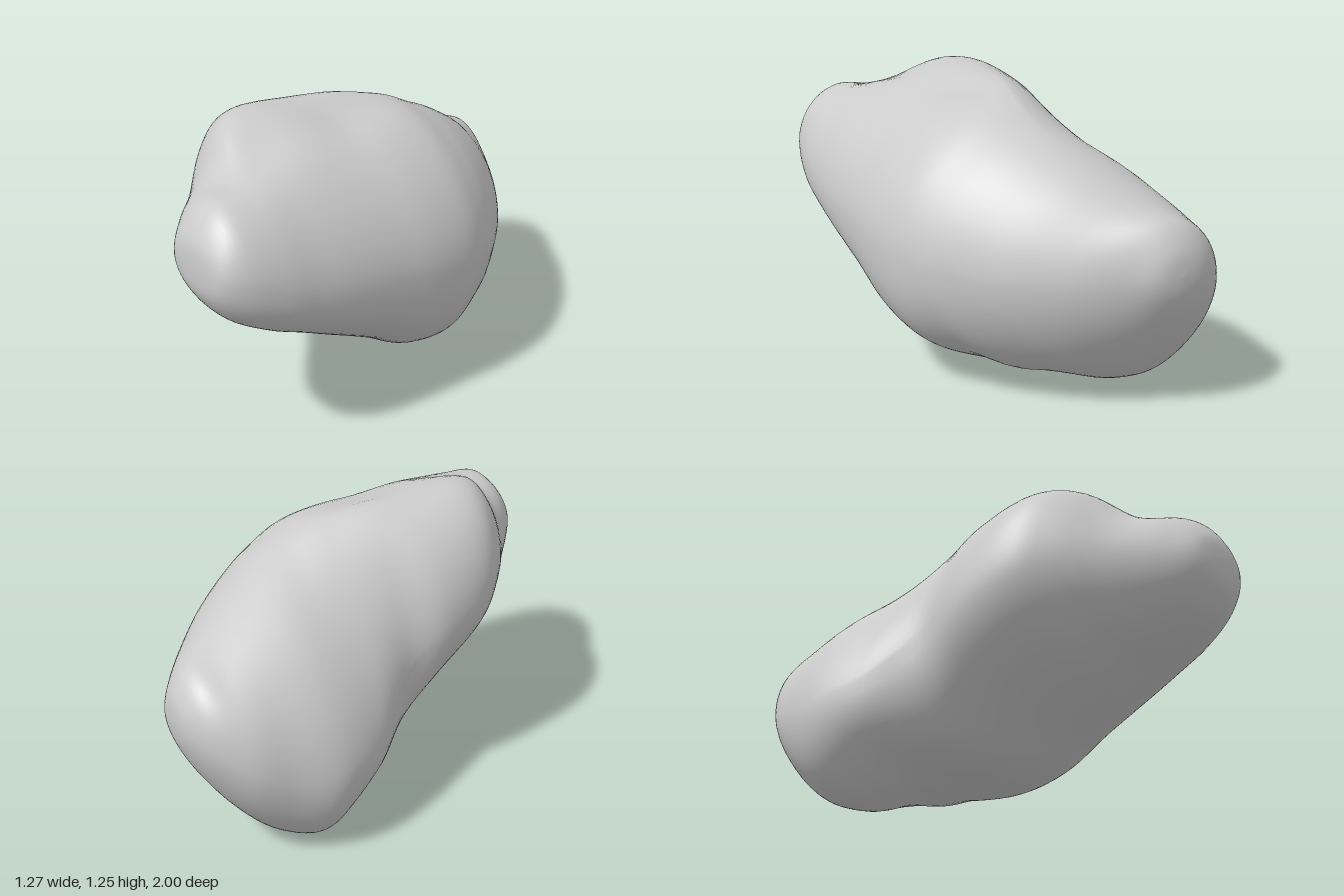
import * as THREE from 'three';

// Cross-sections along z: z, then the left, top, right and bottom extreme points (x, y)
const SECTIONS = [
  [1, 0.35, 0.87, 0.35, 0.87, 0.35, 0.87, 0.35, 0.87],
  [0.985, 0.22, 0.87, 0.36, 0.98, 0.5, 0.86, 0.37, 0.76],
  [0.9, 0.11, 0.87, 0.36, 1.085, 0.575, 0.84, 0.38, 0.65],
  [0.75, -0.05, 0.87, 0.29, 1.125, 0.615, 0.78, 0.37, 0.56],
  [0.6, -0.22, 0.88, 0.06, 1.22, 0.625, 0.73, 0.34, 0.49],
  [0.45, -0.34, 0.84, -0.03, 1.25, 0.63, 0.7, 0.29, 0.41],
  [0.2, -0.4, 0.73, -0.03, 1.235, 0.63, 0.66, 0.23, 0.28],
  [0, -0.41, 0.62, -0.01, 1.225, 0.63, 0.63, 0.18, 0.16],
  [-0.2, -0.54, 0.45, 0.03, 1.18, 0.605, 0.6, 0.12, 0.11],
  [-0.35, -0.61, 0.39, 0.03, 1.11, 0.545, 0.58, -0.22, 0.05],
  [-0.48, -0.635, 0.36, 0, 1.05, 0.46, 0.57, -0.33, 0],
  [-0.65, -0.6, 0.4, -0.07, 0.955, 0.32, 0.56, -0.32, 0.065],
  [-0.8, -0.56, 0.47, -0.16, 0.865, 0.145, 0.57, -0.3, 0.21],
  [-0.92, -0.47, 0.56, -0.23, 0.815, -0.04, 0.6, -0.27, 0.38],
  [-0.985, -0.36, 0.61, -0.25, 0.72, -0.15, 0.61, -0.25, 0.52],
  [-1, -0.26, 0.62, -0.26, 0.62, -0.26, 0.62, -0.26, 0.62],
];
const RINGS = 90, SIDES = 72;
const bump = (v, centre, width) => Math.exp(-(((v - centre) / width) ** 2));

// Smooth interpolation between neighbouring cross-sections
function sectionAt(t) {
  const last = SECTIONS.length - 1;
  const k = Math.min(Math.floor(t), last - 1), f = t - k;
  const row = (i) => SECTIONS[THREE.MathUtils.clamp(i, 0, last)];
  const [a, b, c, d] = [row(k - 1), row(k), row(k + 1), row(k + 2)];
  return b.map((v, n) => {
    const m0 = (c[n] - a[n]) / 2, m1 = (d[n] - v) / 2, e = v - c[n];
    return v + f * (m0 + f * (-3 * e - 2 * m0 - m1 + f * (2 * e + m0 + m1)));
  });
}

// Shallow valley between the two front lobes
function valley(x, z) {
  const depth = 0.03 * bump(z, 0.08, 0.2) + 0.045 * bump(z, 0.6, 0.17);
  return depth * bump(x, 0.14 + 0.13 * z, 0.13);
}

// Hollow between the belly and the rear foot
const hollow = (x, z) => 0.05 * bump(x, -0.02, 0.14) * bump(z, -0.42, 0.15);

// Fullness of each quarter: below 2 is flattened, above 2 is swollen
function fullness(z, right, up) {
  if (up) return right ? 1.83 : 2 - 0.5 * bump(z, -0.2, 0.35);
  if (right) return 1.9 + 0.5 * THREE.MathUtils.smoothstep(z, -0.65, -0.15);
  return 2 + 0.9 * bump(z, -0.12, 0.2);
}

// Point on a section: four curved quarters joined at the extreme points
function surfacePoint(t, angle) {
  const [z, xl, yl, xt, yt, xr, yr, xb, yb] = sectionAt(t);
  const c = Math.cos(angle), s = Math.sin(angle);
  const right = c >= 0, up = s >= 0;
  const p = fullness(z, right, up);
  const u = Math.abs(c) ** (2 / p), v = Math.abs(s) ** (2 / p);
  const cx = up ? xt : xb, cy = right ? yr : yl;
  const x = cx + u * ((right ? xr : xl) - cx);
  const y = cy + v * ((up ? yt : yb) - cy);
  return [x, y + v * (up ? -valley(x, z) : hollow(x, z)), z];
}

function buildBody() {
  const last = SECTIONS.length - 1;
  const positions = [], index = [];
  // Each end closes on a single pole vertex
  positions.push(...surfacePoint(0, 0));
  for (let i = 1; i < RINGS; i++) {
    for (let j = 0; j < SIDES; j++) {
      positions.push(...surfacePoint((i / RINGS) * last, (j / SIDES) * Math.PI * 2));
    }
  }
  positions.push(...surfacePoint(last, 0));
  const id = (i, j) => {
    if (i === 0) return 0;
    if (i === RINGS) return 1 + (RINGS - 1) * SIDES;
    return 1 + (i - 1) * SIDES + (j % SIDES);
  };
  for (let i = 0; i < RINGS; i++) {
    for (let j = 0; j < SIDES; j++) {
      const a = id(i, j), b = id(i + 1, j), c = id(i + 1, j + 1), d = id(i, j + 1);
      if (i < RINGS - 1) index.push(a, b, c);
      if (i > 0) index.push(a, c, d);
    }
  }
  const geometry = new THREE.BufferGeometry();
  geometry.setAttribute('position', new THREE.Float32BufferAttribute(positions, 3));
  geometry.setIndex(index);
  geometry.computeVertexNormals();
  return geometry;
}

export function createModel() {
  const group = new THREE.Group();
  group.name = 'asteroid';
  const body = new THREE.Mesh(buildBody(), new THREE.MeshStandardMaterial({ color: 0xcccccc }));
  body.name = 'rockBody';
  group.add(body);
  return group;
}
